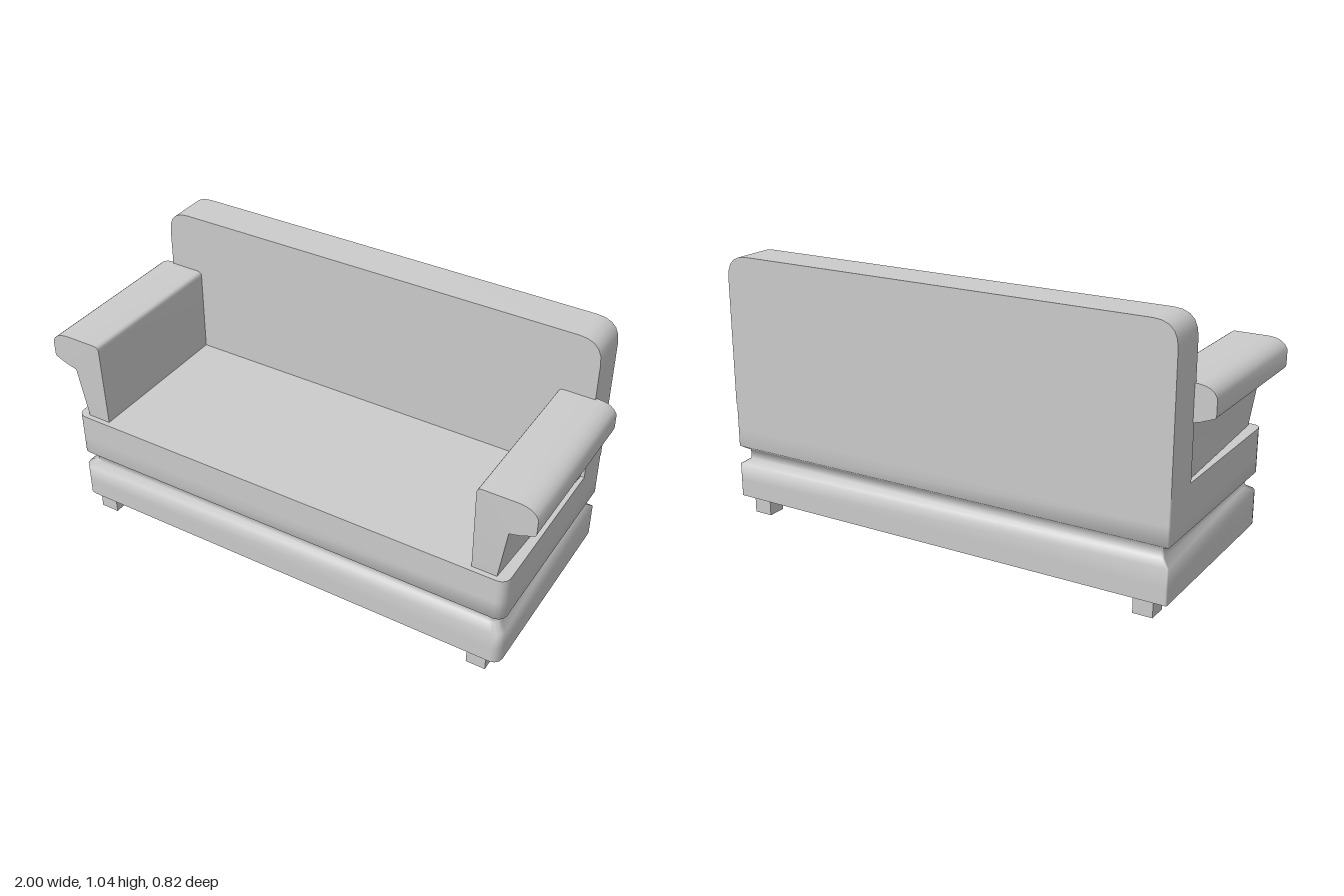
import * as THREE from 'three';
import { toCreasedNormals } from 'three/addons/utils/BufferGeometryUtils.js';

const material = new THREE.MeshStandardMaterial({ color: 0xcccccc, side: THREE.DoubleSide });
const SEAT_Y = 0.45, HALF_W = 0.92, HALF_D = 0.41, BACK_Z = -0.25;

function addMesh(parent, name, geometry) {
  const mesh = new THREE.Mesh(geometry, material);
  mesh.name = name;
  parent.add(mesh);
  return mesh;
}

// Outline of the body in plan: softened front corners, crisp rear ones
function planOutline(inset) {
  const w = HALF_W - inset, d = HALF_D - inset, pts = [];
  const corners = [[1, 1, 0.035], [-1, 1, 0.035], [-1, -1, 0.006], [1, -1, 0.006]];
  corners.forEach(([sx, sz, r], i) => {
    for (let k = 0; k <= 3; k++) {
      const a = (i + k / 3) * Math.PI / 2;
      pts.push([sx * (w - r) + r * Math.cos(a), sz * (d - r) + r * Math.sin(a)]);
    }
  });
  return pts;
}

// Open-bottomed body wall lofted through levels of [height, inset]
function bodyWall() {
  const levels = [[0.065, 0], [0.13, 0], [0.2, 0], [0.22, 0.03], [0.255, 0.03], [0.275, 0], [0.35, 0], [SEAT_Y, 0]];
  const positions = [], index = [];
  const n = planOutline(0).length;
  levels.forEach(([y, inset], j) => {
    planOutline(inset).forEach(([x, z], i) => {
      positions.push(x, y, z);
      if (j === levels.length - 1) return;
      const a = j * n + i, b = j * n + (i + 1) % n;
      index.push(a, a + n, b, b, a + n, b + n);
    });
  });
  const geometry = new THREE.BufferGeometry();
  geometry.setAttribute('position', new THREE.Float32BufferAttribute(positions, 3));
  geometry.setIndex(index);
  geometry.computeVertexNormals();
  return geometry;
}

// Flat seat, left open beneath each hollow arm
function seatTop() {
  const outline = planOutline(0).map(([x, z]) => new THREE.Vector2(x, -Math.max(z, BACK_Z)));
  const shape = new THREE.Shape(outline.filter((p, i) => !i || p.distanceTo(outline[i - 1]) > 1e-4));
  for (const s of [1, -1]) {
    const hole = [[0.78, 0.39], [0.875, 0.39], [0.905, -0.245], [0.78, -0.245]];
    shape.holes.push(new THREE.Path(hole.map(([x, z]) => new THREE.Vector2(s * x, -z))));
  }
  return new THREE.ShapeGeometry(shape).rotateX(-Math.PI / 2).translate(0, SEAT_Y, 0);
}

// Removes the faces lying on the seat plane, so the part stays open below
function openBelow(geometry) {
  const src = geometry.index ? geometry.toNonIndexed() : geometry;
  const p = src.attributes.position, kept = [];
  for (let i = 0; i < p.count; i += 3) {
    if ([0, 1, 2].every(k => Math.abs(p.getY(i + k) - SEAT_Y) < 1e-4)) continue;
    for (let k = 0; k < 3; k++) kept.push(p.getX(i + k), p.getY(i + k), p.getZ(i + k));
  }
  const result = new THREE.BufferGeometry();
  result.setAttribute('position', new THREE.Float32BufferAttribute(kept, 3));
  return toCreasedNormals(result, 0.9);
}

function backrest() {
  const top = 1.04, r = 0.09;
  const s = new THREE.Shape();
  s.moveTo(-HALF_W, SEAT_Y);
  s.lineTo(HALF_W, SEAT_Y);
  s.lineTo(HALF_W, top - r);
  s.quadraticCurveTo(HALF_W, top, HALF_W - r, top);
  s.lineTo(-HALF_W + r, top);
  s.quadraticCurveTo(-HALF_W, top, -HALF_W, top - r);
  const g = new THREE.ExtrudeGeometry(s, { depth: BACK_Z + HALF_D, bevelEnabled: false, curveSegments: 5 });
  return openBelow(g.translate(0, 0, -HALF_D));
}

function arm() {
  const s = new THREE.Shape();
  s.moveTo(0.78, SEAT_Y);
  s.lineTo(0.875, SEAT_Y);
  s.lineTo(0.905, 0.66);
  s.lineTo(0.945, 0.67);
  s.lineTo(0.995, 0.69);
  s.quadraticCurveTo(1, 0.695, 1, 0.705);
  s.lineTo(1, 0.76);
  s.quadraticCurveTo(0.985, 0.798, 0.93, 0.8);
  s.lineTo(0.8, 0.8);
  s.quadraticCurveTo(0.78, 0.8, 0.78, 0.78);
  const g = new THREE.ExtrudeGeometry(s, { depth: 0.66, bevelEnabled: false, curveSegments: 4 });
  g.translate(0, 0, -0.26);
  // Foot of the arm leans back at the front and flares outward at the rear
  const p = g.attributes.position;
  for (let i = 0; i < p.count; i++) {
    if (p.getY(i) > SEAT_Y + 0.01) continue;
    if (p.getZ(i) > 0) p.setZ(i, 0.39);
    else {
      p.setZ(i, BACK_Z);
      if (p.getX(i) > 0.8) p.setX(i, 0.905);
    }
  }
  return openBelow(g);
}

export function createModel() {
  const sofa = new THREE.Group();
  sofa.name = 'sofa';
  addMesh(sofa, 'body', bodyWall());
  addMesh(sofa, 'seat', seatTop());
  addMesh(sofa, 'backrest', backrest());

  // Arms and legs, mirrored left and right
  const armGeometry = arm();
  const legGeometry = new THREE.BoxGeometry(0.075, 0.07, 0.075);
  for (const [side, s] of [['left', 1], ['right', -1]]) {
    addMesh(sofa, side + 'Arm', armGeometry).scale.x = s;
    for (const [end, z] of [['Front', 0.357], ['Back', -0.357]]) {
      addMesh(sofa, side + end + 'Leg', legGeometry).position.set(s * 0.828, 0.035, z);
    }
  }
  return sofa;
}
